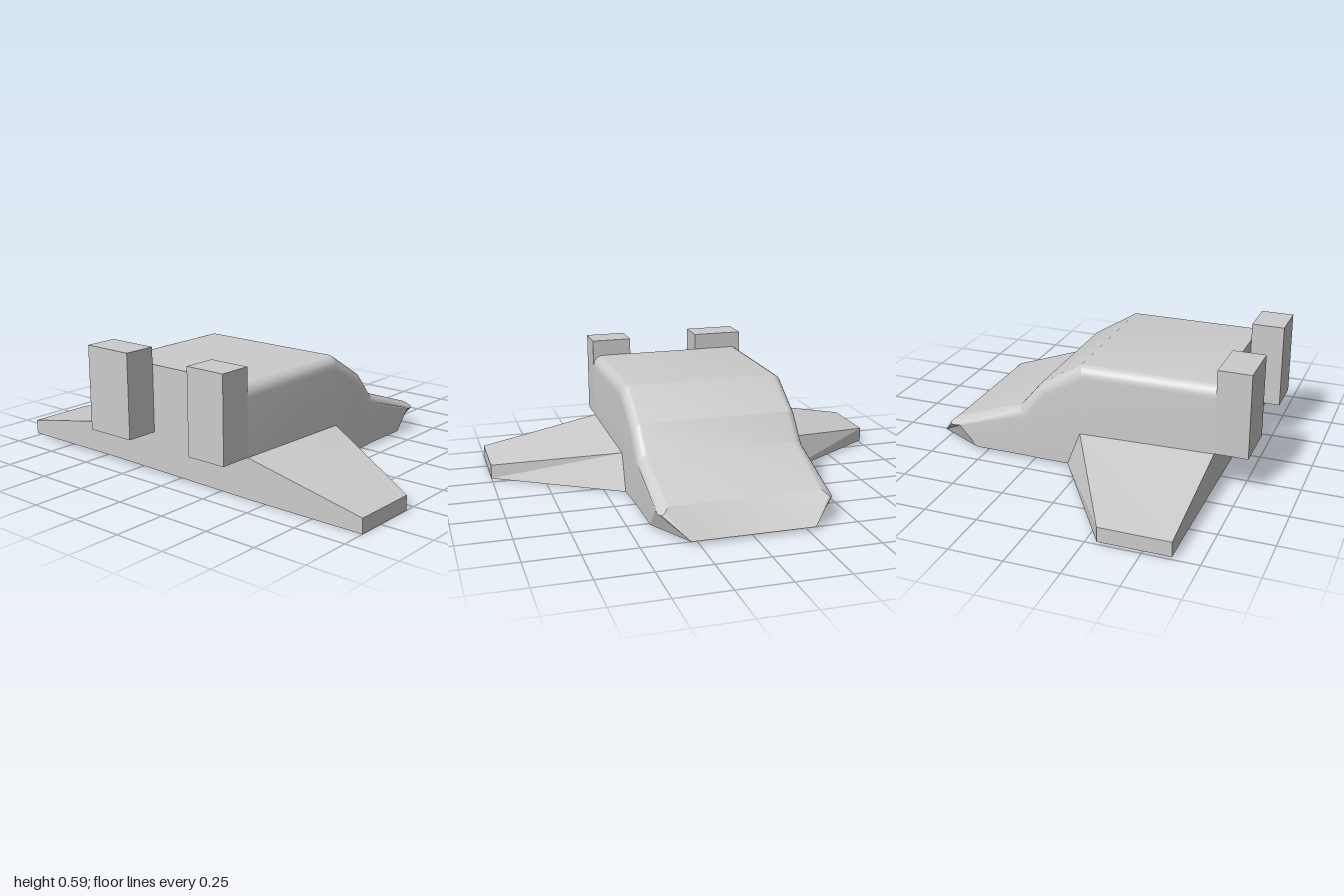
import * as THREE from 'three';
import { toCreasedNormals } from 'three/addons/utils/BufferGeometryUtils.js';

const material = new THREE.MeshStandardMaterial({ color: 0xcccccc });

// Closed skin through rings of points; each ring runs clockwise seen from the far end.
function loft(rings) {
  const out = [];
  const tri = (a, b, c) => {
    const area = new THREE.Triangle(a, b, c).getArea();
    if (area > 1e-7) for (const p of [a, b, c]) out.push(p.x, p.y, p.z);
  };
  const n = rings[0].length;
  for (let i = 0; i < rings.length - 1; i++) {
    const r = rings[i], s = rings[i + 1];
    for (let j = 0; j < n; j++) {
      const k = (j + 1) % n;
      tri(r[j], s[j], s[k]);
      tri(r[j], s[k], r[k]);
    }
  }
  const first = rings[0], last = rings[rings.length - 1];
  for (let k = 1; k < n - 1; k++) {
    tri(first[0], first[k], first[k + 1]);
    tri(last[0], last[k + 1], last[k]);
  }
  const geometry = new THREE.BufferGeometry();
  geometry.setAttribute('position', new THREE.Float32BufferAttribute(out, 3));
  return toCreasedNormals(geometry, 0.28);
}

const V = (x, y, z) => new THREE.Vector3(x, y, z);

export function createModel() {
  const group = new THREE.Group();
  const add = (name, geometry) => {
    const mesh = new THREE.Mesh(geometry, material);
    mesh.name = name;
    group.add(mesh);
    return mesh;
  };

  // Hull: stations of bottom edge, start of the rounded shoulder, and roof edge (x, y)
  const half = 0.405, radius = 0.05, steps = 6;
  const stations = [
    [-0.63, 0.0, -0.63, 0.455, -0.63, 0.51],
    [0.08, 0.0, -0.005, 0.455, 0.015, 0.51],
    [0.2, 0.008, 0.185, 0.34, 0.225, 0.38],
    [0.32, 0.015, 0.295, 0.215, 0.325, 0.26],
    [0.55, 0.015, 0.64, 0.115, 0.67, 0.14],
  ];
  const mirrored = (side, rightBottom) => {
    const other = side.map((p) => V(p.x, p.y, -p.z)).reverse();
    other[other.length - 1].y = rightBottom;
    return [...side, ...other];
  };
  const rings = stations.map(([bx, by, sx, sy, tx, ty], i) => {
    const side = [V(bx, by, half)];
    for (let k = 0; k <= steps; k++) {
      const a = (k / steps) * Math.PI / 2, f = Math.sin(a);
      // the shoulder swells forward where it meets the sloped nose
      const swell = i === stations.length - 1 ? 0.035 * Math.sin(2 * a) : 0;
      side.push(V(sx + (tx - sx) * f + swell, sy + (ty - sy) * f - swell * 0.6,
        half - radius + radius * Math.cos(a)));
    }
    return mirrored(side, Math.max(by, 0.012));
  });
  // Nose edge, where the front slope and the corner cuts meet
  rings.push(mirrored(Array.from({ length: steps + 2 }, () => V(0.785, 0.015, 0.285)), 0.015));
  add('hull', loft(rings));

  // Wings: thick at the root, thin at the tip, swept leading edge
  const root = (z, y) => [V(-0.63, y, z), V(-0.63, 0.19, z), V(0.015, 0.178, z), V(0.08, y, z)];
  const tip = (z, y) => [V(-0.63, y, z), V(-0.63, y + 0.069, z), V(-0.305, y + 0.069, z), V(-0.305, y, z)];
  add('leftWing', loft([root(0.4, 0), tip(1, 0)]));
  add('rightWing', loft([tip(-1, 0.012), root(-0.4, 0.012)]));

  // Upright blocks at the tail
  for (const [name, z0, z1] of [['leftTailBlock', 0.205, 0.405], ['rightTailBlock', -0.405, -0.155]]) {
    add(name, new THREE.BoxGeometry(0.155, 0.4, z1 - z0)).position.set(-0.7075, 0.39, (z0 + z1) / 2);
  }
  return group;
}
